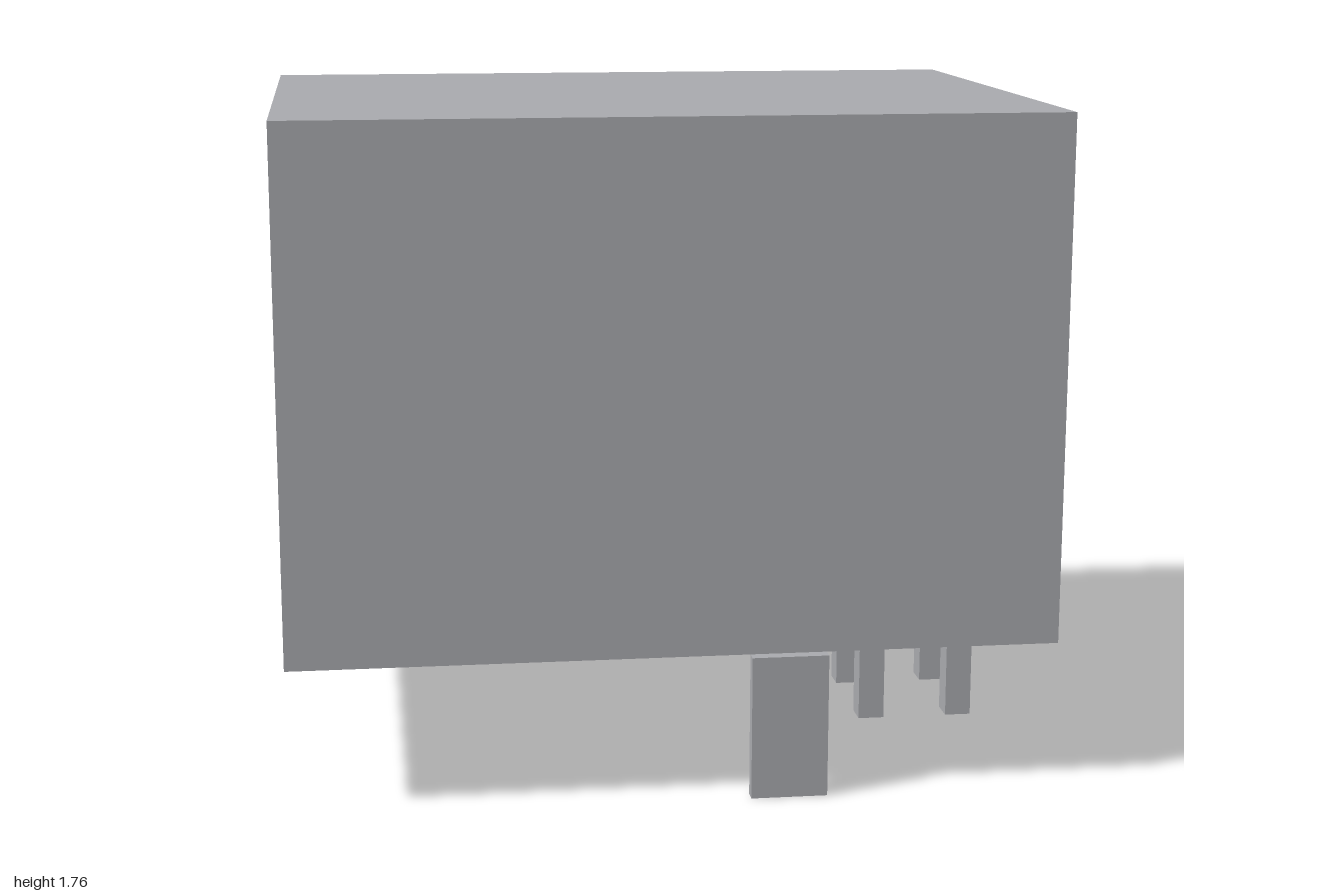
import * as THREE from 'three';

const metal = new THREE.MeshStandardMaterial({ color: 0xa9aaae });
metal.name = 'grey metal';

const BOTTOM = 0.385, TOP = 1.765, HALF_DEPTH = 0.765;
const MID = (BOTTOM + TOP) / 2;
const HOLE_HEIGHT = 0.99, HOLE_WIDTH = 1.08, HOLE_DEPTH = 1.1;

// Box geometry with its -x side left off
function openBox(w, h, d) {
  const geo = new THREE.BoxGeometry(w, h, d);
  const index = Array.from(geo.index.array);
  index.splice(6, 6);
  geo.setIndex(index);
  geo.clearGroups();
  return geo;
}

function rect(path, w, h) {
  path.moveTo(-w / 2, -h / 2);
  path.lineTo(w / 2, -h / 2);
  path.lineTo(w / 2, h / 2);
  path.lineTo(-w / 2, h / 2);
  path.closePath();
  return path;
}

export function createModel() {
  const model = new THREE.Group();
  model.name = 'socket';

  const add = (name, geo, x, y, z) => {
    const mesh = new THREE.Mesh(geo, metal);
    mesh.name = name;
    mesh.position.set(x, y, z);
    model.add(mesh);
    return mesh;
  };

  // Housing, open on the -x end
  add('housing', openBox(2, TOP - BOTTOM, HALF_DEPTH * 2), 0, MID, 0);

  // Rim around the opening
  const rim = rect(new THREE.Shape(), HALF_DEPTH * 2, TOP - BOTTOM);
  rim.holes.push(rect(new THREE.Path(), HOLE_WIDTH, HOLE_HEIGHT));
  add('rim', new THREE.ShapeGeometry(rim), -1, MID, 0).rotation.y = -Math.PI / 2;

  // Cavity walls, facing inwards
  const cavity = openBox(HOLE_DEPTH, HOLE_HEIGHT, HOLE_WIDTH);
  cavity.setIndex(Array.from(cavity.index.array).reverse());
  cavity.computeVertexNormals();
  add('cavity', cavity, -1 + HOLE_DEPTH / 2, MID, 0);

  // Tongue standing out from the back of the cavity
  const tongueLength = HOLE_DEPTH - 0.13;
  add('tongue', new THREE.BoxGeometry(tongueLength, 0.53, 0.375), -0.87 + tongueLength / 2, MID, 0);

  // Mounting tabs and contact pins, mirrored front to back
  for (const side of [1, -1]) {
    add('mountingTab', new THREE.BoxGeometry(0.2, 0.38, 0.035), 0.29, 0.19, side * 0.765);
    for (const x of [0.633, 0.885]) {
      add('contactPin', new THREE.BoxGeometry(0.072, BOTTOM, 0.072), x, BOTTOM / 2, side * 0.16);
    }
  }
  return model;
}
